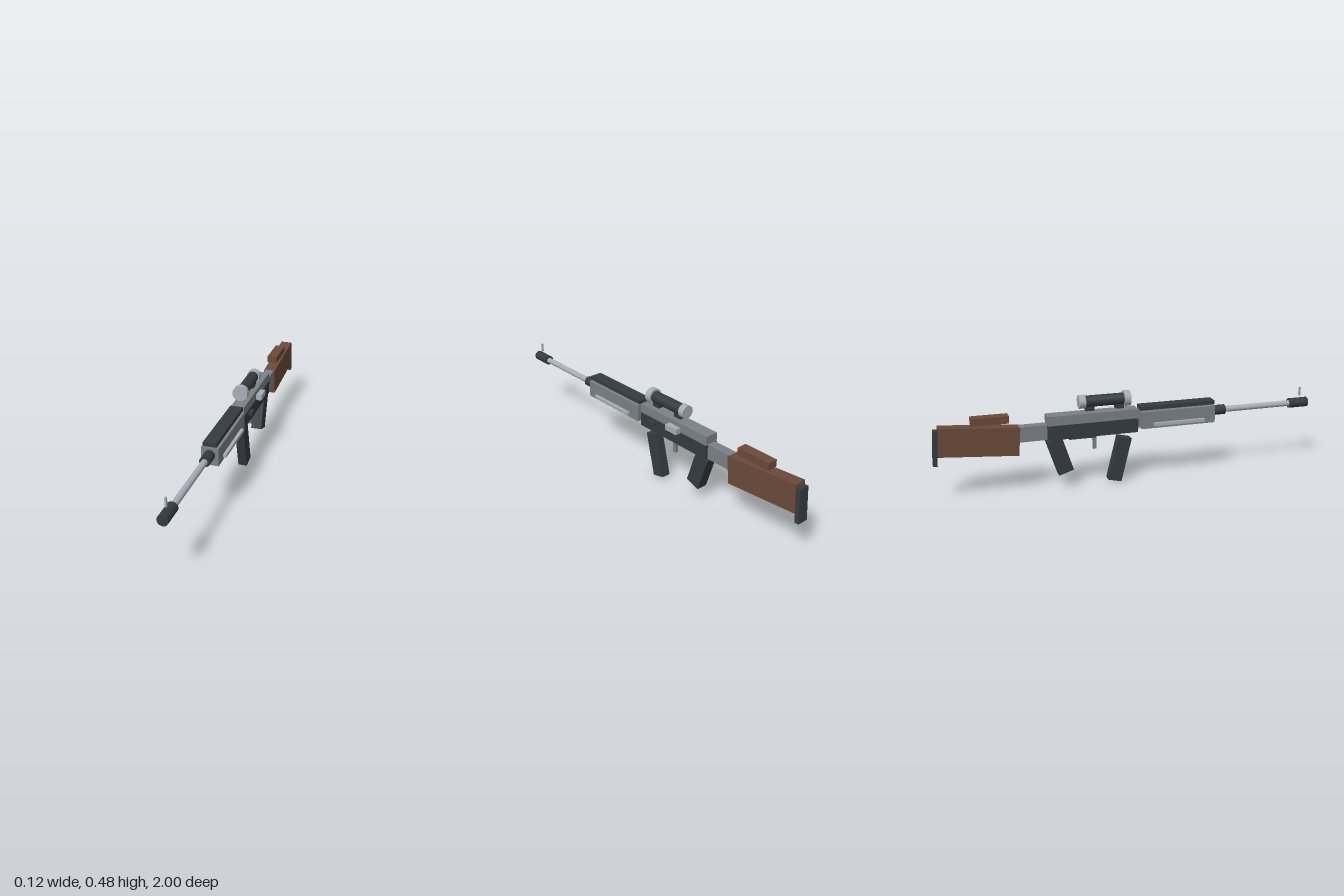
import * as THREE from 'three';

const material = (name, color) => {
  const m = new THREE.MeshStandardMaterial({ color });
  m.name = name;
  return m;
};

export function createModel() {
  const steel = material('lightSteel', 0xa9adb8);
  const grey = material('midGrey', 0x7b8187);
  const dark = material('darkMetal', 0x343b3f);
  const wood = material('brownWood', 0x6b4a3a);

  const model = new THREE.Group();
  model.name = 'toyRifle';
  const AXIS_X = -0.0035; // long axis sits slightly off centre

  const add = (name, geometry, mat, x, y, z, tilt = 0) => {
    const mesh = new THREE.Mesh(geometry, mat);
    mesh.name = name;
    mesh.position.set(x + AXIS_X, y, z);
    mesh.rotation.x = tilt;
    model.add(mesh);
  };
  // Box given by its spans in y and z
  const block = (name, mat, width, [y0, y1], [z0, z1], x = 0) =>
    add(name, new THREE.BoxGeometry(width, y1 - y0, z1 - z0), mat, x, (y0 + y1) / 2, (z0 + z1) / 2);
  // Box turned about the x axis
  const tilted = (name, mat, size, y, z, tilt) =>
    add(name, new THREE.BoxGeometry(...size), mat, 0, y, z, tilt);
  // Cylinder lying along z
  const rod = (name, mat, radius, y, [z0, z1]) =>
    add(name, new THREE.CylinderGeometry(radius, radius, z1 - z0, 24).rotateX(Math.PI / 2), mat, 0, y, (z0 + z1) / 2);

  // Barrel
  rod('muzzle', dark, 0.026, 0.334, [0.893, 1.0]);
  rod('barrel', steel, 0.0155, 0.334, [0.45, 0.9]);
  rod('barrelCollar', dark, 0.026, 0.334, [0.42, 0.512]);
  block('frontSight', steel, 0.009, [0.373, 0.419], [0.952, 0.961]);

  // Handguard
  block('handguard', grey, 0.086, [0.281, 0.37], [0.04, 0.442]);
  block('topRail', dark, 0.066, [0.376, 0.396], [0.038, 0.442]);
  for (const side of [-1, 1])
    block('handguardSlat', steel, 0.018, [0.295, 0.311], [0.104, 0.38], side * 0.05);

  // Receiver
  block('upperReceiver', grey, 0.069, [0.338, 0.387], [-0.443, 0.023]);
  block('lowerReceiver', dark, 0.073, [0.266, 0.339], [-0.443, 0.023]);
  block('boltHandle', steel, 0.034, [0.334, 0.364], [-0.266, -0.19], 0.047);
  block('selector', dark, 0.02, [0.311, 0.326], [-0.094, -0.047], 0.0445);
  block('trigger', grey, 0.017, [0.19, 0.27], [-0.208, -0.19]);
  block('triggerBar', dark, 0.022, [0.251, 0.268], [-0.33, -0.19]);

  // Magazine and grip
  tilted('magazine', dark, [0.047, 0.235, 0.071], 0.1228, -0.07, 0.24);
  tilted('grip', dark, [0.058, 0.19, 0.08], 0.175, -0.382, -0.31);

  // Scope
  rod('scopeTube', dark, 0.029, 0.441, [-0.255, -0.035]);
  rod('scopeFrontCap', steel, 0.0395, 0.441, [-0.046, -0.013]);
  rod('scopeRearCap', steel, 0.034, 0.441, [-0.278, -0.245]);
  for (const z of [-0.067, -0.222])
    block('scopeMount', dark, 0.032, [0.394, 0.425], [z - 0.022, z + 0.022]);

  // Stock
  block('stockTang', grey, 0.048, [0.267, 0.344], [-0.62, -0.44]);
  tilted('stock', wood, [0.062, 0.142, 0.39], 0.289, -0.776, 0.083);
  block('cheekRest', wood, 0.053, [0.371, 0.408], [-0.811, -0.628]);
  tilted('buttPad', dark, [0.056, 0.169, 0.022], 0.273, -0.983, 0.07);

  return model;
}
